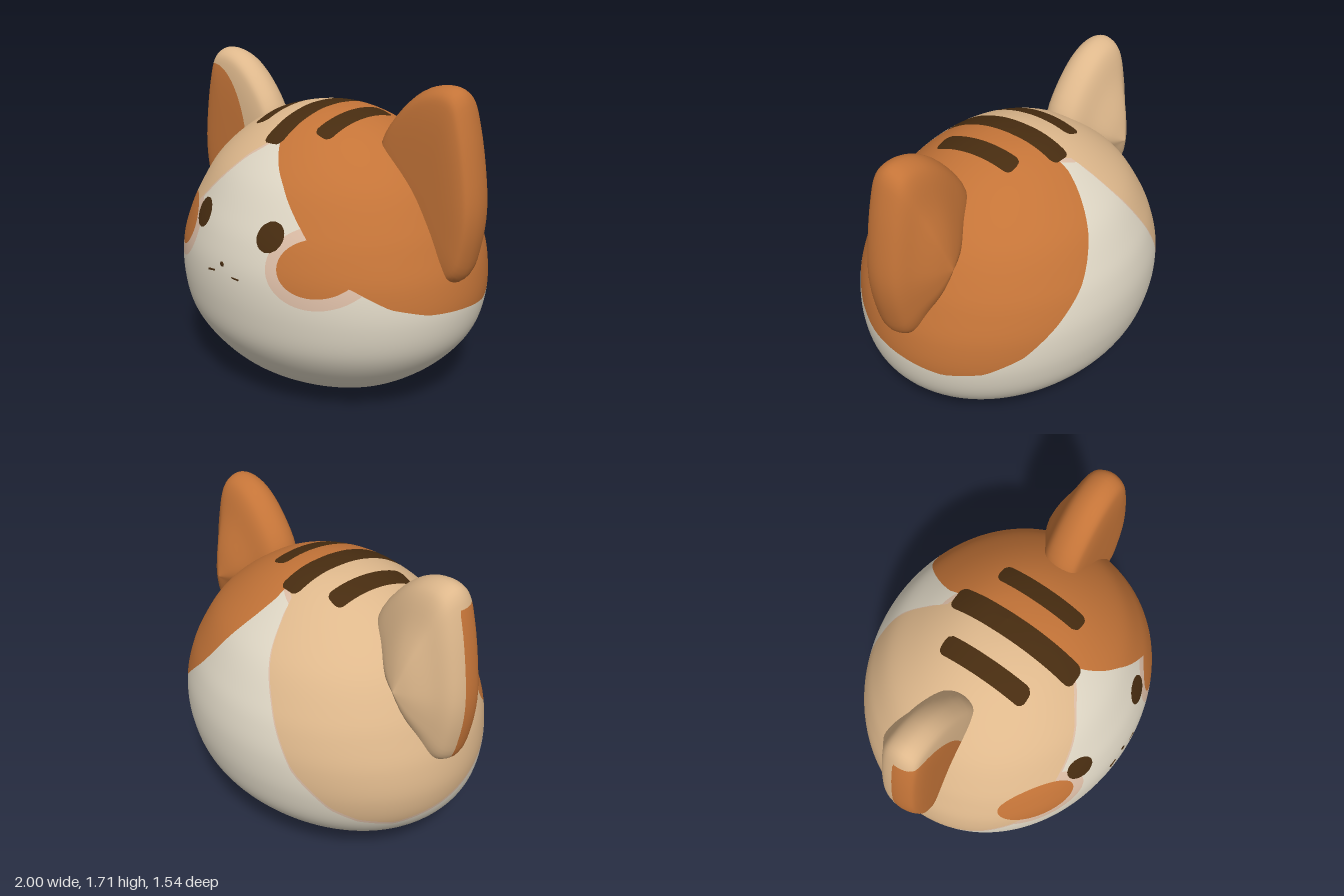
import * as THREE from 'three';

const mat = (name, color) => {
  const m = new THREE.MeshStandardMaterial({ color });
  m.name = name;
  return m;
};

// Closed grid of points: returns loose triangles whose corners are [x, y, z, nx, ny, nz, u]
function gridTriangles(nu, nv, point) {
  const pos = [], index = [], tris = [];
  const angle = (j) => -Math.PI + (2 * Math.PI * j) / nu;
  const id = (i, j) => i * nu + (j % nu);
  for (let i = 0; i <= nv; i++)
    for (let j = 0; j < nu; j++) pos.push(...point(angle(j), i / nv));
  const quads = [];
  for (let i = 0; i < nv; i++)
    for (let j = 0; j < nu; j++) {
      const a = [i, j], b = [i, j + 1], c = [i + 1, j + 1], d = [i + 1, j];
      if (i > 0) quads.push([a, b, c]);
      if (i === 0) quads.push([a, c, d]);
      else if (i < nv - 1) quads.push([a, c, d]);
    }
  quads.forEach((t) => t.forEach(([i, j]) => index.push(id(i, j))));
  const g = new THREE.BufferGeometry();
  g.setAttribute('position', new THREE.Float32BufferAttribute(pos, 3));
  g.setIndex(index);
  g.computeVertexNormals();
  const n = g.attributes.normal.array;
  quads.forEach((t) => tris.push(t.map(([i, j]) => {
    const k = id(i, j) * 3;
    return [pos[k], pos[k + 1], pos[k + 2], n[k], n[k + 1], n[k + 2], angle(j)];
  })));
  return tris;
}

// Cut triangles along field = 0: returns [inside, outside]
function split(tris, field) {
  const inside = [], outside = [];
  const mix = (a, b, t) => a.map((v, i) => v + (b[i] - v) * t);
  for (const tri of tris) {
    const f = tri.map((p) => field(p[0], p[1], p[2], p[6]));
    const s = f.map((v) => v > 0);
    const count = s.filter(Boolean).length;
    if (count === 3) { inside.push(tri); continue; }
    if (count === 0) { outside.push(tri); continue; }
    const k = s.indexOf(count === 1);
    const [i, j] = [(k + 1) % 3, (k + 2) % 3];
    const [a, b, c] = [tri[k], tri[i], tri[j]];
    const p = mix(a, b, f[k] / (f[k] - f[i]));
    const q = mix(a, c, f[k] / (f[k] - f[j]));
    (s[k] ? inside : outside).push([a, p, q]);
    (s[k] ? outside : inside).push([p, b, c], [p, c, q]);
  }
  return [inside, outside];
}

function meshFrom(tris, material, name) {
  const pos = [], nor = [];
  tris.forEach((t) => t.forEach((p) => {
    pos.push(p[0], p[1], p[2]);
    nor.push(p[3], p[4], p[5]);
  }));
  const g = new THREE.BufferGeometry();
  g.setAttribute('position', new THREE.Float32BufferAttribute(pos, 3));
  g.setAttribute('normal', new THREE.Float32BufferAttribute(nor, 3));
  g.normalizeNormals();
  const m = new THREE.Mesh(g, material);
  m.name = name;
  return m;
}

// Fields that are positive inside a tilted ellipse or a rounded rectangle
function ellipse(x, y, cx, cy, rx, ry, tilt = 0) {
  const dx = x - cx, dy = y - cy, c = Math.cos(tilt), s = Math.sin(tilt);
  return (1 - Math.hypot((dx * c + dy * s) / rx, (dy * c - dx * s) / ry)) * Math.min(rx, ry);
}
function bar(x, z, cx, cz, hx, hz, r = 0.035) {
  const qx = Math.abs(x - cx) - hx + r, qz = Math.abs(z - cz) - hz + r;
  return r - Math.hypot(Math.max(qx, 0), Math.max(qz, 0)) - Math.min(Math.max(qx, qz), 0);
}

// Head levels: height, half width, front z, back z
const LEVELS = [
  [0, 0, 0.085, 0.085], [0.012, 0.22, 0.19, -0.04], [0.035, 0.4, 0.31, -0.16],
  [0.11, 0.575, 0.5, -0.38], [0.235, 0.745, 0.635, -0.57], [0.39, 0.865, 0.73, -0.7],
  [0.57, 0.91, 0.765, -0.755], [0.75, 0.895, 0.765, -0.765], [0.9, 0.845, 0.73, -0.74],
  [1.03, 0.785, 0.674, -0.69], [1.2, 0.675, 0.575, -0.59], [1.34, 0.52, 0.44, -0.445],
  [1.44, 0.35, 0.295, -0.3], [1.495, 0.17, 0.14, -0.165], [1.513, 0, -0.01, -0.01],
];
// Lower edge of the coat: angle around the head, height
const LEFT_EDGE = [
  [0, 1.4], [0.08, 1.36], [0.305, 1.21], [0.538, 1.0], [0.7, 0.82], [0.82, 0.78], [1.04, 0.68],
  [1.29, 0.625], [1.6, 0.6], [1.9, 0.57], [2.17, 0.6], [2.4, 0.69], [2.59, 0.83],
  [2.78, 0.985], [2.85, 1.06], [3.0, 1.25], [3.15, 1.41],
];
const RIGHT_EDGE = [
  [0, 1.4], [0.216, 1.3], [0.55, 1.01], [0.68, 0.84], [0.85, 0.72], [1.1, 0.6], [1.35, 0.53],
  [1.6, 0.47], [1.95, 0.41], [2.2, 0.46], [2.37, 0.54], [2.58, 0.74], [2.735, 1.04],
  [2.86, 1.25], [2.93, 1.42], [3.15, 1.45],
];
function edgeHeight(u) {
  const table = u > 0 ? LEFT_EDGE : RIGHT_EDGE, a = Math.abs(u);
  const i = Math.max(1, table.findIndex((p) => p[0] >= a));
  const [p, q] = [table[i - 1], table[i]];
  return p[1] + ((q[1] - p[1]) * (a - p[0])) / (q[0] - p[0]);
}

// Ear outline, and its layers from the flat front over the rim to the domed back: scale, z
const EAR = new THREE.CatmullRomCurve3([
  [0.81, 1.712], [0.88, 1.685], [0.93, 1.56], [0.985, 1.28], [0.998, 1.1], [0.975, 0.92],
  [0.93, 0.78], [0.86, 0.74], [0.75, 0.83], [0.58, 1.05], [0.42, 1.24], [0.41, 1.39],
  [0.54, 1.58], [0.68, 1.685],
].map(([x, y]) => new THREE.Vector3(x, y, 0)), true);
const EAR_LAYERS = new THREE.CatmullRomCurve3([
  [0, 0.12], [0.5, 0.118], [0.8, 0.108], [0.94, 0.085], [1, 0.02], [0.96, -0.05],
  [0.85, -0.095], [0.6, -0.14], [0.3, -0.2], [0, -0.24],
].map(([s, z]) => new THREE.Vector3(s, z, 0)), false, 'catmullrom');

function earTriangles(side) {
  return gridTriangles(56, 36, (u, v) => {
    const t = (u + Math.PI) / (2 * Math.PI);
    const p = EAR.getPoint(side > 0 ? t : 1 - t), l = EAR_LAYERS.getPoint(v);
    return [side * (0.74 + (p.x - 0.74) * l.x), 1.17 + (p.y - 1.17) * l.x, l.y];
  });
}

export function createModel() {
  const cream = mat('cream', 0xded6c4), orange = mat('orange', 0xc47438);
  const tan = mat('tan', 0xdeb88c), dark = mat('dark brown', 0x472c10), blush = mat('blush', 0xdcbda6);
  const model = new THREE.Group();
  model.name = 'catHead';

  // Head surface
  const curve = (k) => new THREE.CatmullRomCurve3(
    LEVELS.map((l) => new THREE.Vector3(l[1], l[0], l[k])), false, 'catmullrom');
  const front = curve(2), back = curve(3);
  let rest = gridTriangles(160, 90, (u, v) => {
    const f = front.getPoint(v), b = back.getPoint(v);
    return [f.x * Math.sin(u), f.y, (f.z + b.z) / 2 + ((f.z - b.z) / 2) * Math.cos(u)];
  });
  const head = new THREE.Group();
  head.name = 'head';
  const paint = (field, material, name) => {
    const [inside, outside] = split(rest, field);
    head.add(meshFrom(inside, material, name));
    rest = outside;
  };

  // Crown stripes and eyes
  [[-0.26, 0.035, 0.052, 0.25], [-0.022, 0.055, 0.063, 0.365], [0.212, 0.05, 0.052, 0.245]].forEach(
    (s) => paint((x, y, z) => Math.min(bar(x, z, ...s), y - 1.2), dark, 'crownStripe'));
  [-0.293, 0.237].forEach(
    (cx) => paint((x, y, z) => Math.min(ellipse(x, y, cx, 0.98, 0.073, 0.073), z), dark, 'eye'));

  // Cheek patches, coat halves, blush rims
  const cheek = (x, y, z, grow) => Math.min(z, Math.max(
    ellipse(x, y, 0.49, 0.865, 0.18 + grow, 0.14 + grow),
    ellipse(x, y, -0.54, 0.87, 0.18 + grow, 0.132 + grow, 0.4)));
  paint((x, y, z) => cheek(x, y, z, 0), orange, 'cheekPatch');
  paint((x, y, z, u) => Math.min(y - edgeHeight(u), x + 0.01), orange, 'leftCoat');
  paint((x, y, z, u) => Math.min(y - edgeHeight(u), 0.01 - x), tan, 'rightCoat');
  paint((x, y, z) => cheek(x, y, z, 0.06), blush, 'cheekBlush');
  paint((x, y, z, u) => Math.min(y - edgeHeight(u) + 0.018, -x), blush, 'coatFringe');
  head.add(meshFrom(rest, cream, 'creamFur'));
  model.add(head);

  // Nose and mouth marks
  const nose = new THREE.Mesh(new THREE.SphereGeometry(0.014, 12, 8), dark);
  nose.name = 'nose';
  nose.scale.z = 0.3;
  nose.position.set(-0.022, 0.795, 0.764);
  model.add(nose);
  [[-0.11, 0.15], [0.075, 0]].forEach(([x, tilt]) => {
    const mark = new THREE.Mesh(new THREE.BoxGeometry(0.05, 0.008, 0.008), dark);
    mark.name = 'mouthMark';
    mark.position.set(x, 0.742, 0.761);
    mark.rotation.z = tilt;
    model.add(mark);
  });

  // Ears: left is plain, right has an orange patch on its front
  model.add(meshFrom(earTriangles(1), orange, 'leftEar'));
  const [patch, ear] = split(earTriangles(-1),
    (x, y, z) => Math.min(ellipse(x, y, -0.86, 1.1, 0.29, 0.52), z + 0.01));
  model.add(meshFrom(ear, tan, 'rightEar'), meshFrom(patch, orange, 'rightEarPatch'));
  return model;
}
